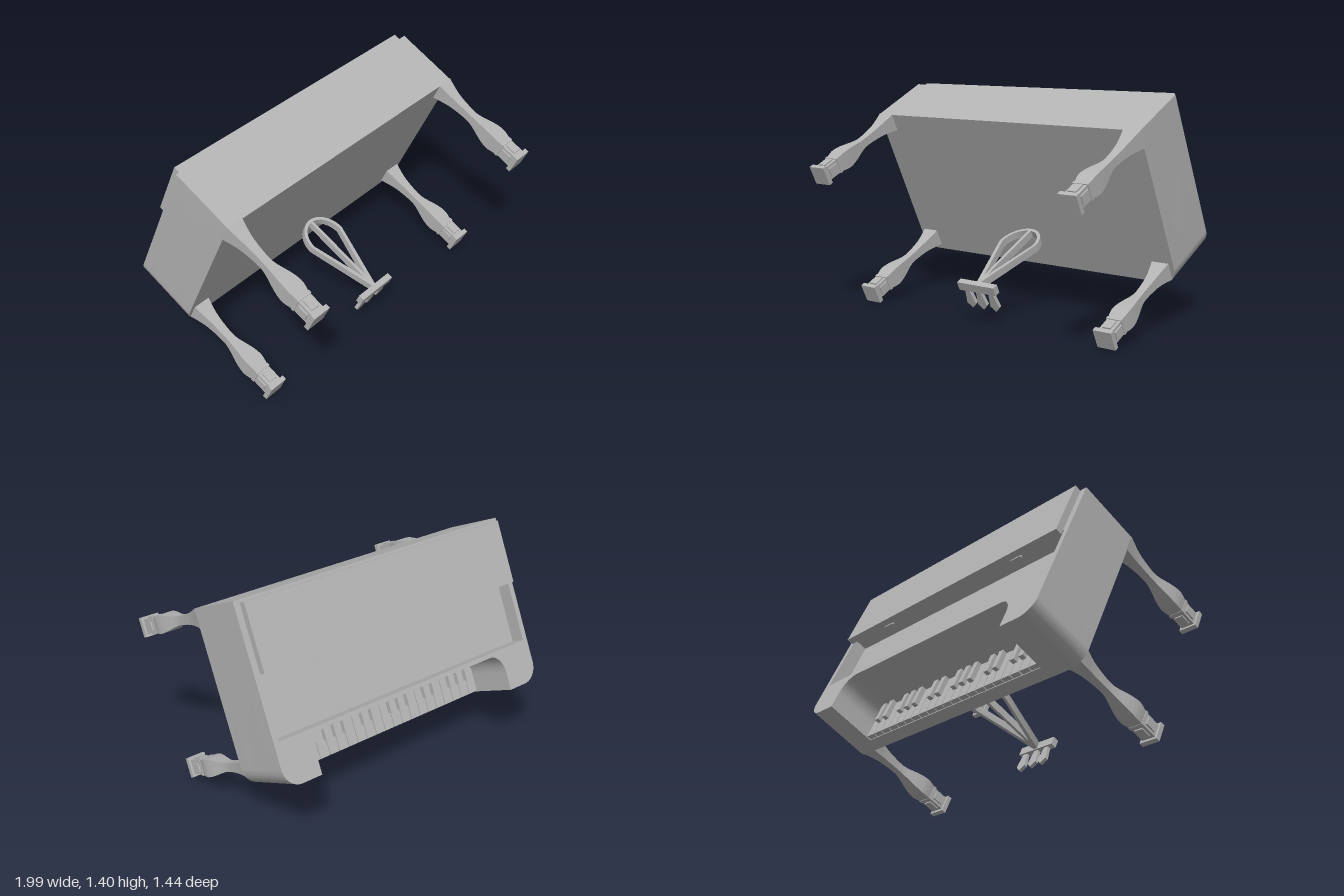
import * as THREE from 'three';
import { toCreasedNormals } from 'three/addons/utils/BufferGeometryUtils.js';

// Piano built upright (y up, keyboard towards -z), then tipped at the end.
const UNDER = 0.418, BED = 0.5, FLOOR = 0.742, TOP = 0.833;
const FRONT = 0.1, BACK = 1.141, HALF = 0.99;

export function createModel() {
  const grey = new THREE.MeshStandardMaterial({ color: 0xb4b4b4 });
  grey.name = 'plain grey';
  const piano = new THREE.Group();
  piano.name = 'piano';

  const add = (name, geometry, parent = piano) => {
    const mesh = new THREE.Mesh(geometry, grey);
    mesh.name = name;
    parent.add(mesh);
    return mesh;
  };
  const box = (name, x0, x1, y0, y1, z0, z1, parent) => {
    const g = new THREE.BoxGeometry(x1 - x0, y1 - y0, z1 - z0);
    g.translate((x0 + x1) / 2, (y0 + y1) / 2, (z0 + z1) / 2);
    return add(name, g, parent);
  };
  // horizontal slab from a plan drawn in (x, z)
  const slab = (name, shape, y0, y1, parent) => {
    const g = new THREE.ExtrudeGeometry(shape, { depth: y1 - y0, bevelEnabled: false, curveSegments: 12 });
    g.rotateX(Math.PI / 2).translate(0, y1, 0);
    return add(name, toCreasedNormals(g, 0.6), parent);
  };

  // Case plan: rounded front corners, optional keyboard notch
  const plan = (notch) => {
    const r = 0.11, s = new THREE.Shape();
    s.moveTo(HALF, BACK);
    s.lineTo(-HALF, BACK);
    s.lineTo(-HALF, FRONT + r);
    s.absarc(-HALF + r, FRONT + r, r, Math.PI, Math.PI * 1.5, false);
    if (notch) {
      s.lineTo(-0.75, FRONT);
      s.lineTo(-0.75, 0.21);
      s.bezierCurveTo(-0.75, 0.28, -0.705, 0.335, -0.65, 0.335);
      s.lineTo(0.65, 0.335);
      s.bezierCurveTo(0.705, 0.335, 0.75, 0.28, 0.75, 0.21);
      s.lineTo(0.75, FRONT);
    }
    s.lineTo(HALF - r, FRONT);
    s.absarc(HALF - r, FRONT + r, r, Math.PI * 1.5, Math.PI * 2, false);
    s.closePath();
    return s;
  };
  const rim = plan(true);
  const well = new THREE.Path();
  well.moveTo(-0.955, 0.36);
  well.lineTo(-0.955, 0.78);
  well.lineTo(0.955, 0.78);
  well.lineTo(0.955, 0.36);
  well.closePath();
  rim.holes.push(well);
  slab('keyBed', plan(false), UNDER, BED);
  slab('case', plan(true), BED, FLOOR);
  slab('caseRim', rim, FLOOR, TOP);

  // Folded lid with its hinges
  box('lid', -0.955, 0.955, 0.838, 0.881, 0.734, 1.124);
  for (const x of [-0.6, 0.56]) box('hinge', x - 0.04, x + 0.04, 0.828, 0.842, 0.724, 0.74);

  // Keyboard: three octaves
  const keys = new THREE.Group();
  keys.name = 'keyboard';
  piano.add(keys);
  const count = 21, pitch = 1.5 / count;
  for (let i = 0; i < count; i++) {
    const x = 0.75 - i * pitch;
    box('whiteKey', x - pitch + 0.003, x - 0.003, BED - 0.005, 0.53, 0.106, 0.34, keys);
    if (i < count - 1 && ![2, 6].includes(i % 7))
      box('blackKey', x - pitch - 0.017, x - pitch + 0.017, 0.52, 0.56, 0.2, 0.34, keys);
  }

  // Square waisted legs on panelled feet
  const curve = new THREE.SplineCurve([
    [0.046, -0.115], [0.055, -0.06], [0.053, -0.01], [0.044, 0.045], [0.031, 0.11],
    [0.026, 0.17], [0.033, 0.29], [0.046, 0.37], [0.058, 0.425],
  ].map(([w, y]) => new THREE.Vector2(w * Math.SQRT2, y)));
  const legGeometry = new THREE.LatheGeometry(curve.getPoints(24), 4);
  legGeometry.rotateY(Math.PI / 4);
  const legShape = toCreasedNormals(legGeometry, 0.6);
  const leg = (name, x, z) => {
    const g = new THREE.Group();
    g.name = name;
    g.position.set(x, 0, z);
    piano.add(g);
    add('shaft', legShape, g);
    box('footPlate', -0.06, 0.06, -0.257, -0.228, -0.06, 0.06, g);
    box('footBlock', -0.045, 0.045, -0.23, -0.128, -0.045, 0.045, g);
    box('footCap', -0.05, 0.05, -0.13, -0.11, -0.05, 0.05, g);
    box('footPanelAcross', -0.054, 0.054, -0.21, -0.14, -0.027, 0.027, g);
    box('footPanelAlong', -0.027, 0.027, -0.21, -0.14, -0.054, 0.054, g);
  };
  for (const s of [-1, 1]) {
    leg('backLeg', s * 0.935, 1.085);
    leg('frontLeg', s * 0.903, 0.19);
  }

  // Pedal lyre: arched frame with a centre rod
  const lyre = new THREE.Shape();
  lyre.moveTo(-0.012, -0.17);
  lyre.lineTo(0.012, -0.17);
  lyre.lineTo(0.14, 0.255);
  lyre.absellipse(0, 0.255, 0.14, 0.16, 0, Math.PI, false);
  lyre.closePath();
  for (const s of [-1, 1]) {
    const hole = new THREE.Path();
    hole.moveTo(s * 0.01, -0.09);
    hole.lineTo(s * 0.12, 0.258);
    hole.bezierCurveTo(s * 0.117, 0.335, s * 0.065, 0.388, s * 0.01, 0.393);
    hole.closePath();
    lyre.holes.push(hole);
  }
  const lyreGeometry = new THREE.ExtrudeGeometry(lyre, { depth: 0.046, bevelEnabled: false, curveSegments: 16 });
  add('lyreFrame', toCreasedNormals(lyreGeometry.translate(0, 0, 0.325), 0.6));
  box('pedalBox', -0.14, 0.14, -0.202, -0.163, 0.318, 0.374);

  // Pedals
  for (const x of [-0.085, 0, 0.095]) {
    const p = new THREE.Shape([
      [-0.016, 0.325], [-0.034, 0.222], [0, 0.188], [0.034, 0.222], [0.016, 0.325],
    ].map(([a, b]) => new THREE.Vector2(x + a, b)));
    slab('pedal', p, -0.195, -0.173);
  }

  // Tip the whole piano over
  piano.rotation.x = THREE.MathUtils.degToRad(-65);
  const model = new THREE.Group();
  model.name = 'tippedPiano';
  model.rotation.set(0, 0.005, 0.009);
  model.add(piano);
  return model;
}
